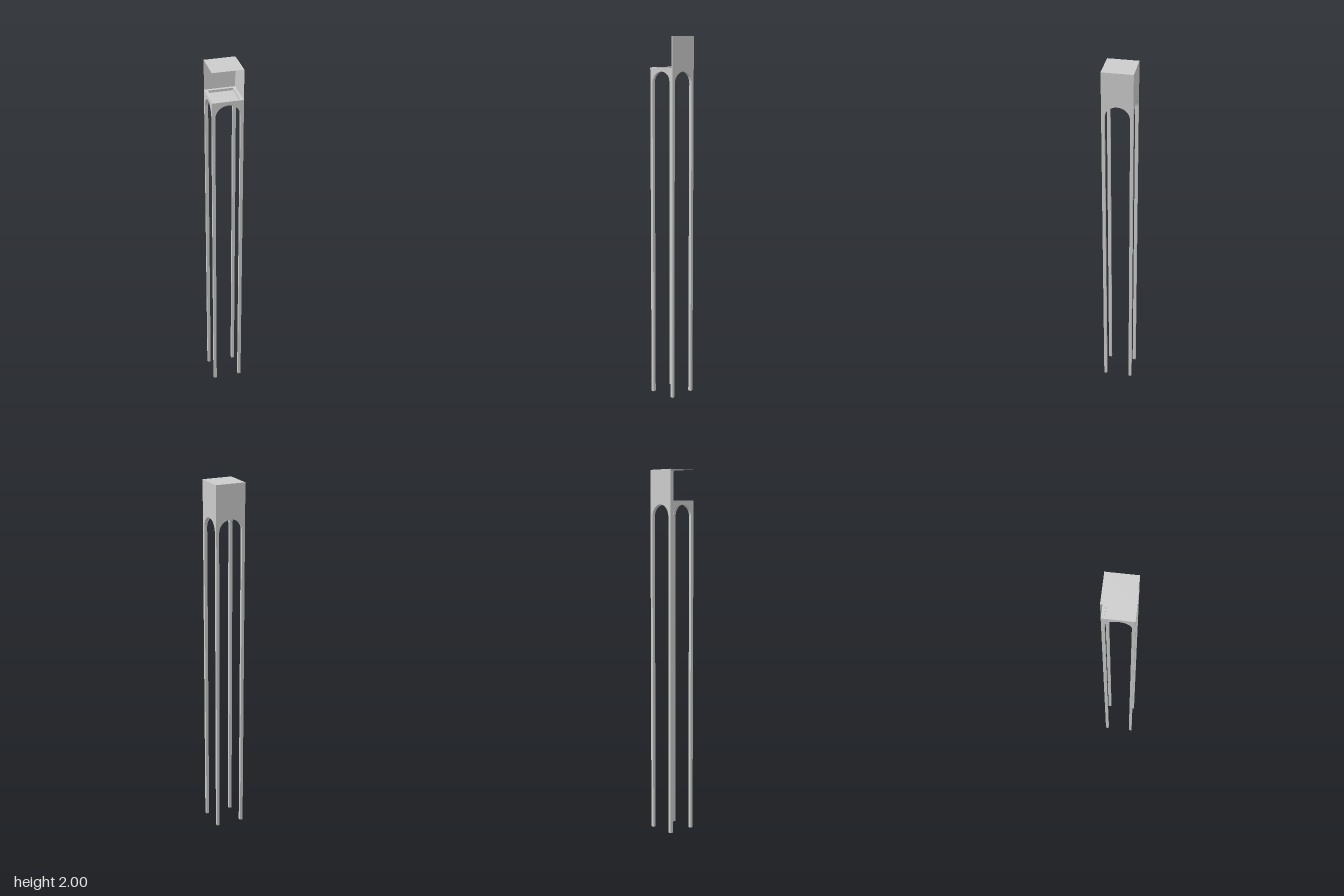
import * as THREE from 'three';

const HALF = 0.083;          // half width of the square plan
const LEG = 0.017;           // leg and arch thickness
const INNER = HALF - LEG;    // half width of each opening, also the arch radius
const SPRING = 1.748;        // where the arches leave the legs
const DECK = 1.835;          // top of the arched frame
const TOP = 2;

export function createModel() {
  const model = new THREE.Group();
  const solid = new THREE.MeshStandardMaterial({ color: 0xcccccc });
  const sheet = new THREE.MeshStandardMaterial({ color: 0xcccccc, side: THREE.DoubleSide });

  const add = (name, geometry, material, x, y, z) => {
    const mesh = new THREE.Mesh(geometry, material);
    mesh.name = name;
    mesh.position.set(x, y, z);
    model.add(mesh);
    return mesh;
  };

  // Four slender square legs
  const legGeometry = new THREE.BoxGeometry(LEG, DECK, LEG);
  const legAt = HALF - LEG / 2;
  for (const x of [-legAt, legAt]) {
    for (const z of [-legAt, legAt]) add('leg', legGeometry, solid, x, DECK / 2, z);
  }

  // A round-arched header between each pair of legs
  const arch = new THREE.Shape();
  arch.moveTo(INNER, SPRING);
  arch.lineTo(INNER, DECK);
  arch.lineTo(-INNER, DECK);
  arch.lineTo(-INNER, SPRING);
  arch.absarc(0, SPRING, INNER, Math.PI, 0, true);
  const archGeometry = new THREE.ExtrudeGeometry(arch, { depth: LEG, bevelEnabled: false, curveSegments: 24 });
  archGeometry.translate(0, 0, INNER);
  for (let i = 0; i < 4; i++) {
    add('archHeader', archGeometry, solid, 0, 0, 0).rotation.y = i * Math.PI / 2;
  }

  // Floor sunk slightly below the rim
  const floor = add('floor', new THREE.PlaneGeometry(2 * INNER, 2 * INNER), sheet, 0, 1.822, 0);
  floor.rotation.x = -Math.PI / 2;

  // Thin walls on two adjoining sides only, under a thin flat roof
  const wallGeometry = new THREE.PlaneGeometry(2 * HALF, TOP - DECK);
  const wallY = (TOP + DECK) / 2;
  add('backWall', wallGeometry, sheet, 0, wallY, -HALF).rotation.y = Math.PI;
  add('sideWall', wallGeometry, sheet, HALF, wallY, 0).rotation.y = Math.PI / 2;
  const roof = add('roof', new THREE.PlaneGeometry(2 * HALF, 2 * HALF), sheet, 0, TOP, 0);
  roof.rotation.x = -Math.PI / 2;

  return model;
}
